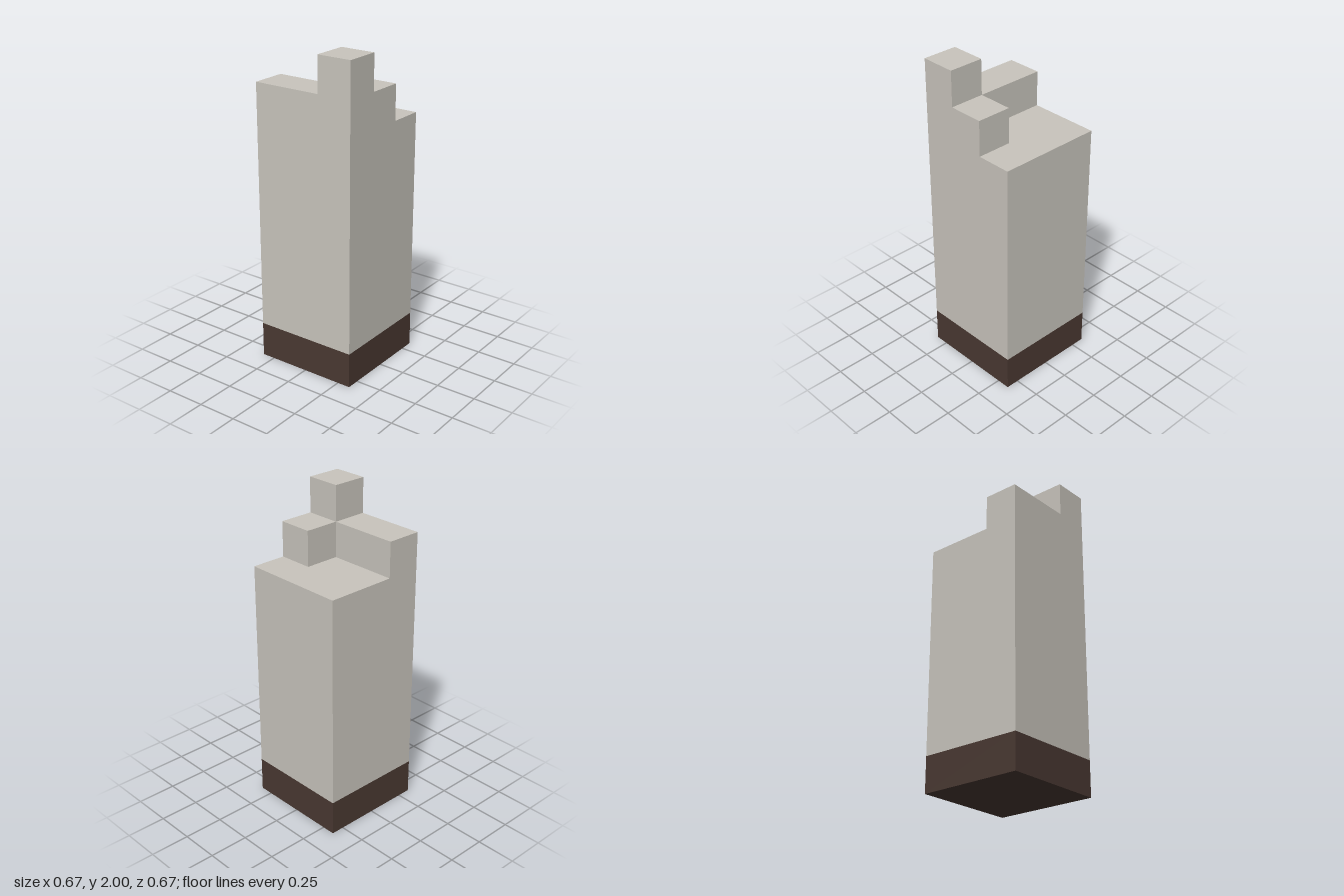
import * as THREE from 'three';

const U = 2 / 9; // one block of the 3 x 9 x 3 grid

export function createModel() {
  const model = new THREE.Group();
  model.name = 'steppedPillar';

  const stone = new THREE.MeshStandardMaterial({ color: 0xc9c5bd });
  stone.name = 'pale stone';
  const earth = new THREE.MeshStandardMaterial({ color: 0x4a3932 });
  earth.name = 'dark brown';

  // Box placed by its minimum corner and size, in blocks
  function block(name, material, [x, y, z], [w, h, d]) {
    const mesh = new THREE.Mesh(new THREE.BoxGeometry(w * U, h * U, d * U), material);
    mesh.position.set((x + w / 2 - 1.5) * U, (y + h / 2) * U, (z + d / 2 - 1.5) * U);
    mesh.name = name;
    model.add(mesh);
  }

  block('base', earth, [0, 0, 0], [3, 1, 3]);
  block('shaft', stone, [0, 1, 0], [3, 6, 3]);

  // Broken, stepped top
  block('sideLedge', stone, [0, 7, 0], [1, 1, 2]);
  block('cornerPeak', stone, [0, 7, 2], [1, 2, 1]);
  block('frontStep', stone, [1, 7, 2], [1, 1, 1]);

  return model;
}
